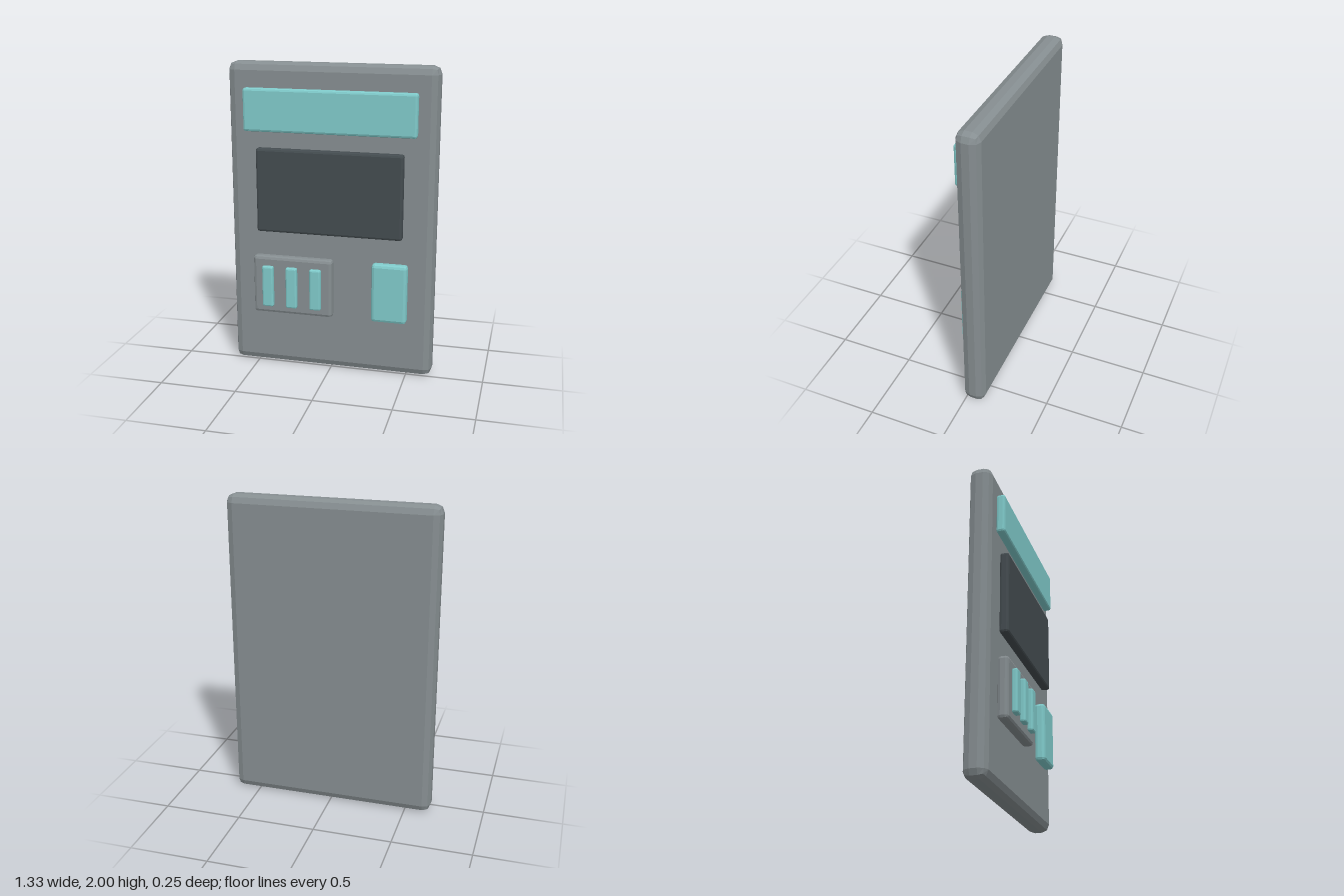
import * as THREE from 'three';
import { RoundedBoxGeometry } from 'three/addons/geometries/RoundedBoxGeometry.js';

const flat = (name, color) => {
  const m = new THREE.MeshStandardMaterial({ color, flatShading: true });
  m.name = name;
  return m;
};

export function createModel() {
  const grey = flat('grey casing', 0x868e91);
  const teal = flat('teal', 0x80cbcb);
  const dark = flat('dark screen', 0x444c50);

  const group = new THREE.Group();
  group.name = 'wallPanel';

  // Box with a two-step bevel, given by its extents on each axis
  const block = (name, material, [x0, x1], [y0, y1], [z0, z1], bevel) => {
    const geometry = new RoundedBoxGeometry(x1 - x0, y1 - y0, z1 - z0, 1, bevel);
    const mesh = new THREE.Mesh(geometry, material);
    mesh.name = name;
    mesh.position.set((x0 + x1) / 2, (y0 + y1) / 2, (z0 + z1) / 2);
    group.add(mesh);
  };

  // Casing
  block('casing', grey, [-0.665, 0.665], [0, 2], [-0.125, 0.021], 0.05);

  // Header strip and screen
  block('headerStrip', teal, [-0.55, 0.545], [1.576, 1.846], [0.022, 0.078], 0.015);
  block('screen', dark, [-0.472, 0.467], [0.93, 1.472], [0.022, 0.08], 0.015);

  // Button panel with three upright buttons
  block('buttonPanel', grey, [-0.5, 0.024], [0.38, 0.768], [0.022, 0.09], 0.02);
  [-0.395, -0.238, -0.081].forEach((x, i) =>
    block(`button${i + 1}`, teal, [x - 0.037, x + 0.037], [0.436, 0.71], [0.088, 0.125], 0.011));

  // Separate key pad
  block('keyPad', teal, [0.278, 0.506], [0.38, 0.768], [0.022, 0.09], 0.02);

  return group;
}
